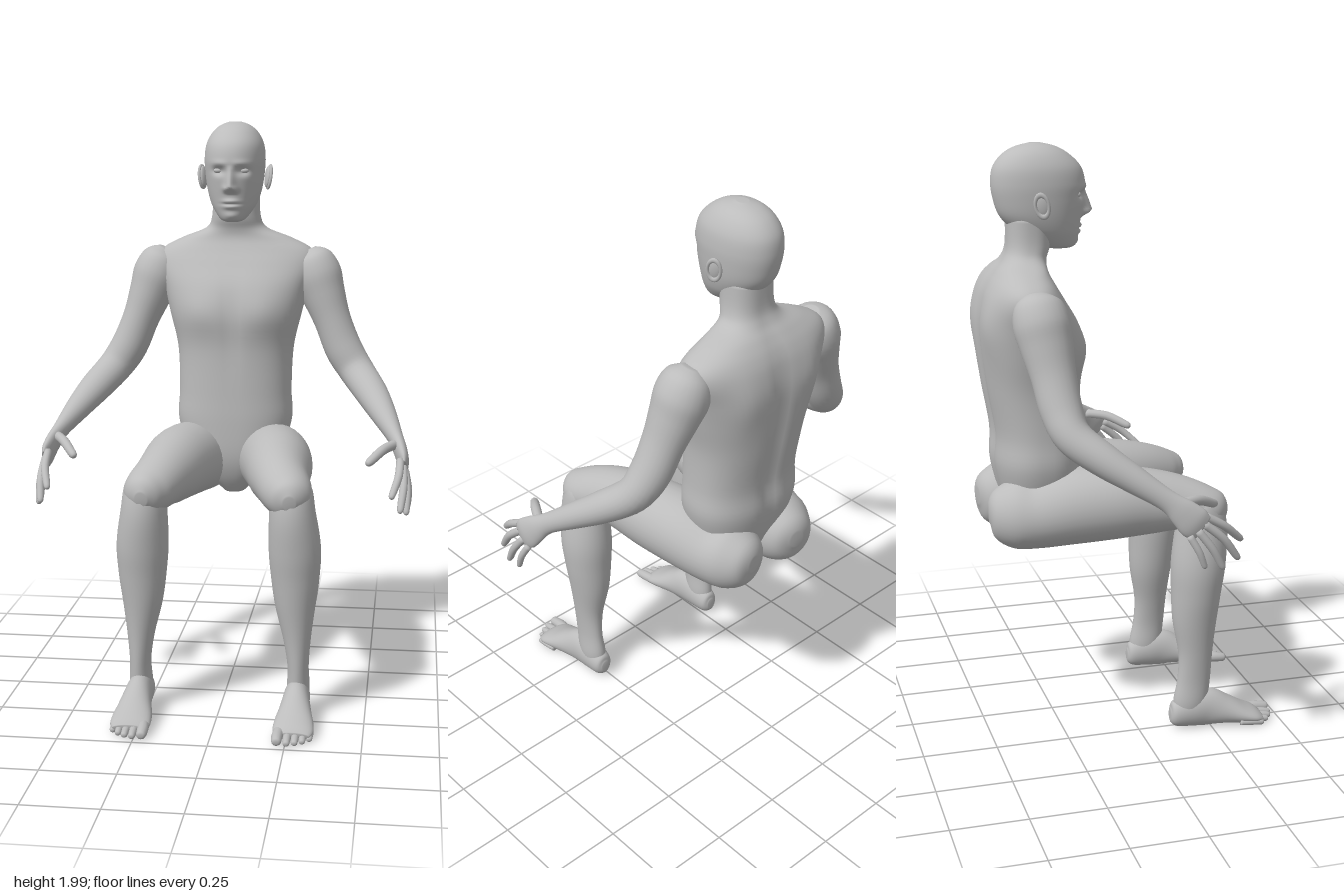
import * as THREE from 'three';

const skin = new THREE.MeshStandardMaterial({ color: 0xbcbcbc });
skin.name = 'grey skin';

const gauss = (d, w) => Math.exp(-((d / w) ** 2));
const clamp01 = (t) => Math.min(1, Math.max(0, t));

// Catmull-Rom through one number of four neighbouring rows
const spline = (a, b, c, d, t) =>
  0.5 * (2 * b + (c - a) * t + (2 * a - 5 * b + 4 * c - d) * t * t + (3 * b - a - 3 * c + d) * t * t * t);

// Smooth skin over rows of [x, y, z, radius across, radius deep].
// Rings follow the path, or stay level when `level` is set.
function loft(name, rows, { n = 24, steps = 5, level = false, power = 2, shape } = {}) {
  const path = [];
  const row = (i) => rows[Math.min(rows.length - 1, Math.max(0, i))];
  for (let i = 0; i < rows.length - 1; i++) {
    for (let k = 0; k < steps; k++) {
      path.push(rows[i].map((_, c) => spline(row(i - 1)[c], row(i)[c], row(i + 1)[c], row(i + 2)[c], k / steps)));
    }
  }
  path.push(rows[rows.length - 1]);
  const at = (i) => new THREE.Vector3(...path[Math.min(path.length - 1, Math.max(0, i))].slice(0, 3));
  const bend = (v) => Math.sign(v) * Math.abs(v) ** (2 / power);
  const pos = [], index = [];
  path.forEach((p, i) => {
    const t = level ? new THREE.Vector3(0, 1, 0) : at(i + 1).sub(at(i - 1)).normalize();
    const u = new THREE.Vector3(1, 0, 0);
    u.addScaledVector(t, -u.dot(t)).normalize();
    const v = t.clone().cross(u);
    for (let j = 0; j < n; j++) {
      const a = (j / n) * Math.PI * 2;
      const q = at(i)
        .addScaledVector(u, bend(Math.cos(a)) * Math.max(0.002, p[3]))
        .addScaledVector(v, bend(Math.sin(a)) * Math.max(0.002, p[4]));
      if (shape) shape(q);
      pos.push(q.x, q.y, q.z);
      if (i < path.length - 1) {
        const b = i * n + j, c = i * n + ((j + 1) % n);
        index.push(b, c, b + n, c, c + n, b + n);
      }
    }
  });
  // Rounded ends close with a fan
  const last = (path.length - 1) * n, cap = pos.length / 3;
  pos.push(...at(0).toArray(), ...at(path.length - 1).toArray());
  for (let j = 0; j < n; j++) {
    const k = (j + 1) % n;
    index.push(cap, k, j, cap + 1, last + j, last + k);
  }
  const g = new THREE.BufferGeometry();
  g.setAttribute('position', new THREE.Float32BufferAttribute(pos, 3));
  g.setIndex(index);
  g.computeVertexNormals();
  const mesh = new THREE.Mesh(g, skin);
  mesh.name = name;
  return mesh;
}

// Level rows given as [y, half width, front z, back z]
const levels = (rows) => rows.map(([y, w, f, b]) => [0, y, (f + b) / 2, w, (f - b) / 2]);

// Finger or toe with a rounded tip
function digit(name, a, b, c, r, flat = 1) {
  const A = new THREE.Vector3(...a), B = new THREE.Vector3(...b), C = new THREE.Vector3(...c);
  const near = B.clone().lerp(C, 0.75);
  const rows = [[A, 1], [B, 1], [near, 0.88], [C.clone().lerp(near, 0.2), 0.62], [C, 0.2]];
  return loft(name, rows.map(([p, k]) => [p.x, p.y, p.z, r * k, r * k * flat]), { n: 12, steps: 4 });
}

function torso() {
  return loft('torso', levels([
    [0.68, 0.04, -0.22, -0.36], [0.74, 0.1, -0.18, -0.39], [0.82, 0.165, -0.155, -0.42],
    [0.94, 0.205, -0.15, -0.448], [1.05, 0.202, -0.152, -0.447], [1.2, 0.208, -0.152, -0.472],
    [1.32, 0.235, -0.143, -0.487], [1.42, 0.26, -0.165, -0.49], [1.5, 0.285, -0.21, -0.477],
    [1.55, 0.268, -0.24, -0.458], [1.59, 0.195, -0.258, -0.432], [1.625, 0.11, -0.257, -0.405],
    [1.67, 0.086, -0.242, -0.388], [1.76, 0.083, -0.235, -0.385],
  ]), {
    n: 64, level: true, power: 2.35,
    shape(q) {
      const x = Math.abs(q.x);
      if (q.z < -0.36) { // spine groove and shoulder blades
        q.z += 0.022 * gauss(x, 0.03) * gauss(q.y - 1.22, 0.3);
        q.z -= 0.012 * gauss(x - 0.14, 0.06) * gauss(q.y - 1.42, 0.1);
      } else if (q.z < -0.1 && q.z > -0.26) { // chest and breastbone
        q.z += 0.012 * gauss(x - 0.11, 0.07) * gauss(q.y - 1.34, 0.07);
        q.z -= 0.008 * gauss(x, 0.025) * gauss(q.y - 1.3, 0.15);
      }
    },
  });
}

function head() {
  const g = new THREE.Group();
  g.name = 'head';
  g.add(loft('skull and face', levels([
    [1.655, 0.025, -0.17, -0.24], [1.665, 0.045, -0.154, -0.27], [1.7, 0.071, -0.144, -0.335],
    [1.73, 0.085, -0.139, -0.375], [1.77, 0.096, -0.132, -0.408], [1.82, 0.103, -0.124, -0.425],
    [1.87, 0.106, -0.12, -0.432], [1.92, 0.1, -0.134, -0.425], [1.96, 0.08, -0.172, -0.396],
    [1.985, 0.052, -0.215, -0.355], [1.998, 0.018, -0.265, -0.305],
  ]), {
    n: 112, steps: 9, level: true, power: 2.1,
    shape(q) {
      if (q.z < -0.23) return;
      const x = Math.abs(q.x), y = q.y;
      // nose, nostrils, eye sockets, brow, lips, chin
      const ridge = clamp01((1.85 - y) / 0.07) * clamp01((y - 1.752) / 0.022);
      q.z += 0.036 * ridge * gauss(x, 0.011 + 0.008 * clamp01((1.83 - y) / 0.06));
      q.z += 0.011 * gauss(x - 0.016, 0.009) * gauss(y - 1.769, 0.009);
      q.z -= 0.017 * gauss(x - 0.042, 0.022) * gauss(y - 1.831, 0.014);
      q.z += 0.005 * gauss(x - 0.038, 0.03) * gauss(y - 1.857, 0.01);
      q.z += gauss(x, 0.026) * (0.01 * gauss(y - 1.727, 0.008) + 0.009 * gauss(y - 1.708, 0.008) - 0.005 * gauss(y - 1.718, 0.004));
      q.z += 0.006 * gauss(x, 0.025) * gauss(y - 1.677, 0.012);
    },
  }));
  for (const s of [1, -1]) {
    const eye = new THREE.Mesh(new THREE.SphereGeometry(1, 20, 14), skin);
    eye.name = 'eye';
    eye.scale.set(0.018, 0.01, 0.013);
    eye.position.set(s * 0.043, 1.832, -0.156);
    const ear = new THREE.Group();
    ear.name = 'ear';
    const bowl = new THREE.Mesh(new THREE.SphereGeometry(1, 20, 14), skin);
    bowl.name = 'ear bowl';
    bowl.scale.set(0.009, 0.038, 0.022);
    const rim = new THREE.Mesh(new THREE.TorusGeometry(0.022, 0.0055, 8, 28), skin);
    rim.name = 'ear rim';
    rim.rotation.y = Math.PI / 2;
    rim.scale.set(1, 1.65, 1);
    rim.position.x = s * 0.006;
    ear.add(bowl, rim);
    ear.position.set(s * 0.113, 1.807, -0.287);
    ear.rotation.set(-0.15, s * 0.4, -s * 0.1);
    g.add(eye, ear);
  }
  return g;
}

function arm(s) {
  const g = new THREE.Group();
  g.name = s > 0 ? 'left arm' : 'right arm';
  const m = ([x, ...rest]) => [s * x, ...rest];
  g.add(loft('arm and palm', [
    [0.258, 1.55, -0.345, 0.025, 0.03], [0.27, 1.52, -0.343, 0.07, 0.075], [0.288, 1.46, -0.335, 0.088, 0.092],
    [0.313, 1.39, -0.325, 0.078, 0.085], [0.347, 1.3, -0.312, 0.066, 0.073], [0.388, 1.2, -0.298, 0.066, 0.068],
    [0.437, 1.125, -0.272, 0.062, 0.06], [0.493, 1.06, -0.19, 0.057, 0.054], [0.54, 1.0, -0.1, 0.044, 0.044],
    [0.582, 0.94, -0.01, 0.027, 0.035], [0.601, 0.903, 0.035, 0.023, 0.046], [0.612, 0.87, 0.07, 0.019, 0.053],
    [0.615, 0.85, 0.095, 0.01, 0.044],
  ].map(m)));
  // Fingers as knuckle, middle joint, tip; then the thumb
  [
    [[0.602, 0.885, 0.108], [0.598, 0.845, 0.175], [0.575, 0.785, 0.243], 0.0135],
    [[0.612, 0.865, 0.1], [0.615, 0.81, 0.165], [0.605, 0.732, 0.223], 0.0135],
    [[0.619, 0.845, 0.08], [0.628, 0.785, 0.125], [0.625, 0.712, 0.165], 0.013],
    [[0.622, 0.83, 0.052], [0.632, 0.78, 0.08], [0.63, 0.722, 0.103], 0.0115],
  ].forEach(([a, b, c, r], i) => g.add(digit('finger ' + (i + 1), m(a), m(b), m(c), r)));
  g.add(digit('thumb', m([0.585, 0.925, 0.035]), m([0.545, 0.92, 0.105]), m([0.493, 0.885, 0.183]), 0.0165));
  return g;
}

function leg(s) {
  const g = new THREE.Group();
  g.name = s > 0 ? 'left leg' : 'right leg';
  const m = ([x, ...rest]) => [s * x, ...rest];
  g.add(loft('buttock and thigh', [
    [0.1, 0.79, -0.483, 0.025, 0.03], [0.103, 0.79, -0.462, 0.075, 0.08], [0.112, 0.785, -0.4, 0.112, 0.118],
    [0.127, 0.785, -0.32, 0.124, 0.12], [0.152, 0.807, -0.2, 0.128, 0.13], [0.175, 0.815, -0.07, 0.122, 0.126],
    [0.19, 0.812, 0.05, 0.108, 0.112], [0.207, 0.805, 0.14, 0.095, 0.096], [0.235, 0.785, 0.23, 0.083, 0.08],
    [0.243, 0.777, 0.28, 0.058, 0.062], [0.246, 0.772, 0.305, 0.02, 0.025],
  ].map(m), { n: 32 }));
  g.add(loft('lower leg', [
    [0.245, 0.845, 0.2, 0.025, 0.03], [0.246, 0.81, 0.212, 0.066, 0.07], [0.25, 0.72, 0.217, 0.078, 0.09],
    [0.258, 0.6, 0.205, 0.088, 0.094], [0.26, 0.5, 0.198, 0.082, 0.086], [0.261, 0.4, 0.194, 0.069, 0.077],
    [0.268, 0.28, 0.196, 0.047, 0.06], [0.272, 0.18, 0.19, 0.036, 0.058], [0.272, 0.1, 0.178, 0.039, 0.06],
    [0.27, 0.05, 0.17, 0.034, 0.05],
  ].map(m), { n: 28 }));
  g.add(loft('foot', [
    [0.27, 0.055, 0.106, 0.015, 0.02], [0.27, 0.056, 0.122, 0.035, 0.045], [0.27, 0.066, 0.18, 0.043, 0.061],
    [0.27, 0.07, 0.24, 0.046, 0.068], [0.271, 0.056, 0.3, 0.055, 0.052], [0.271, 0.039, 0.36, 0.066, 0.035],
    [0.272, 0.028, 0.405, 0.067, 0.024], [0.272, 0.021, 0.43, 0.055, 0.013],
  ].map(m), { n: 28, shape: (q) => { q.y = Math.max(0.004, q.y); } }));
  // Toes from big to little
  [[0.223, 0.483, 0.019], [0.255, 0.481, 0.0135], [0.281, 0.472, 0.013], [0.305, 0.456, 0.0125], [0.327, 0.432, 0.012]]
    .forEach(([x, z, r], i) => g.add(digit('toe ' + (i + 1),
      m([0.272 + (x - 0.272) * 0.92, r + 0.008, z - 0.085]), m([x, r + 0.006, z - 0.045]), m([x, r, z]), r, 0.95)));
  return g;
}

export function createModel() {
  const model = new THREE.Group();
  model.name = 'seated figure';
  model.add(torso(), head());
  for (const s of [1, -1]) model.add(arm(s), leg(s));
  return model;
}
